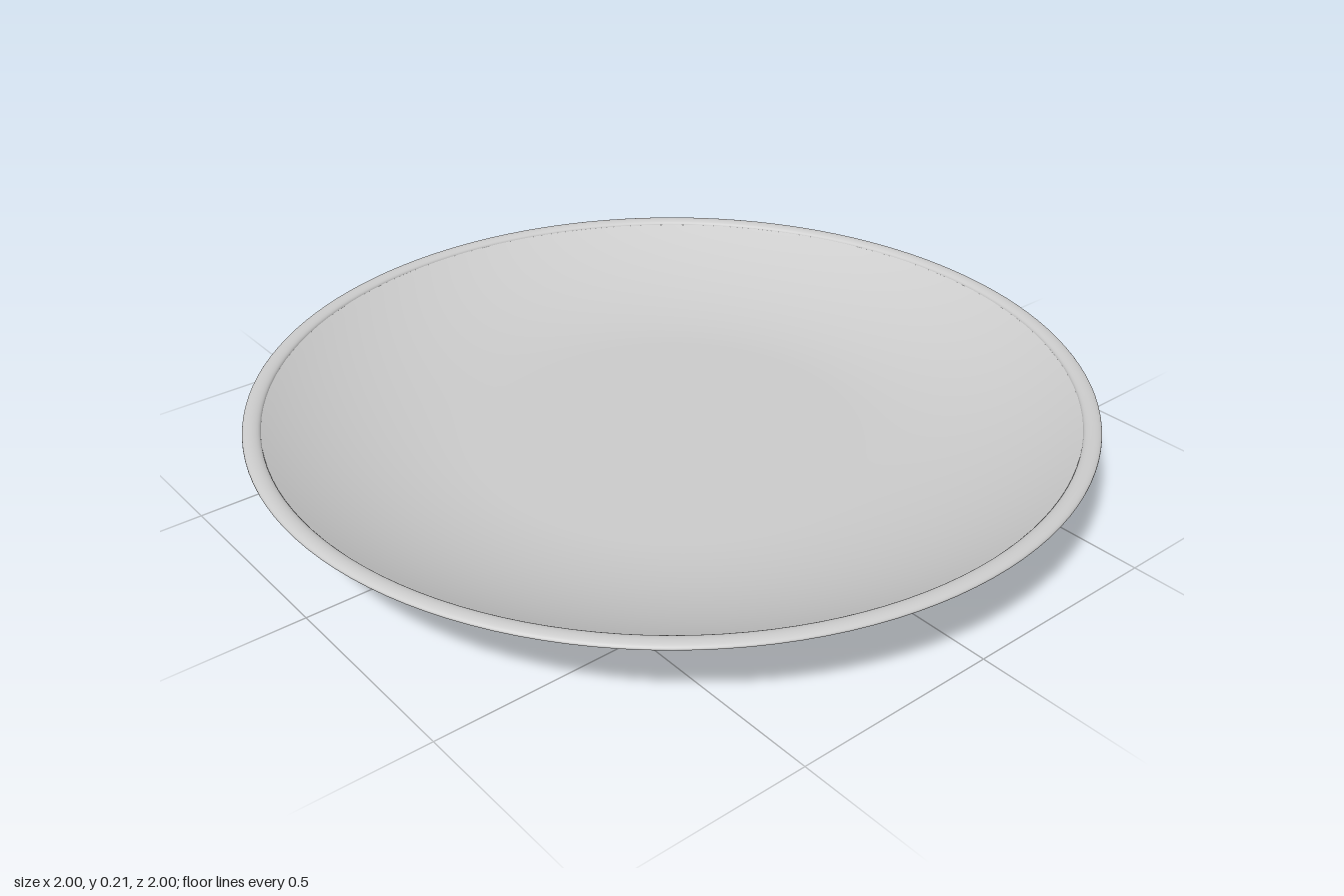
import * as THREE from 'three';

const SEGMENTS = 128;

// Points on a circular arc that starts level at (r0, y0) and rises to (r1, y1)
function risingArc(r0, y0, r1, y1, steps) {
  const dr = r1 - r0, dy = y1 - y0;
  const radius = (dr * dr + dy * dy) / (2 * dy);
  const sweep = Math.asin(dr / radius);
  return Array.from({ length: steps + 1 }, (_, i) => {
    const a = (sweep * i) / steps;
    return [r0 + radius * Math.sin(a), y0 + radius * (1 - Math.cos(a))];
  });
}

export function createModel() {
  const plate = new THREE.Group();
  plate.name = 'plate';
  const material = new THREE.MeshStandardMaterial({ color: 0xcccccc });

  // Each band is turned separately, so the edges between bands stay sharp
  function turn(name, profile) {
    const points = profile.map(([r, y]) => new THREE.Vector2(r, y));
    const mesh = new THREE.Mesh(new THREE.LatheGeometry(points, SEGMENTS), material);
    mesh.name = name;
    plate.add(mesh);
  }

  // Foot ring with a shallow recess inside
  turn('footRecess', [[0, 0.023], [0.42, 0.023]]);
  turn('footInnerWall', [[0.42, 0.023], [0.42, 0]]);
  turn('footBase', [[0.42, 0], [0.462, 0]]);
  turn('footOuterWall', [[0.462, 0], [0.462, 0.045]]);

  // Curved underside
  turn('underside', [[0.462, 0.045], ...risingArc(0.52, 0.045, 0.998, 0.203, 24)]);

  // Rounded lip
  const lip = [];
  for (let i = 0; i <= 12; i++) {
    const a = (Math.PI * i) / 12;
    lip.push([0.979 + 0.021 * Math.cos(a), 0.203 + 0.01 * Math.sin(a)]);
  }
  turn('lip', [[0.998, 0.203], ...lip]);

  // Dished upper surface with a flat centre
  const well = risingArc(0.46, 0.08, 0.958, 0.203, 24).reverse();
  turn('well', [...well, [0, 0.08]]);

  return plate;
}
